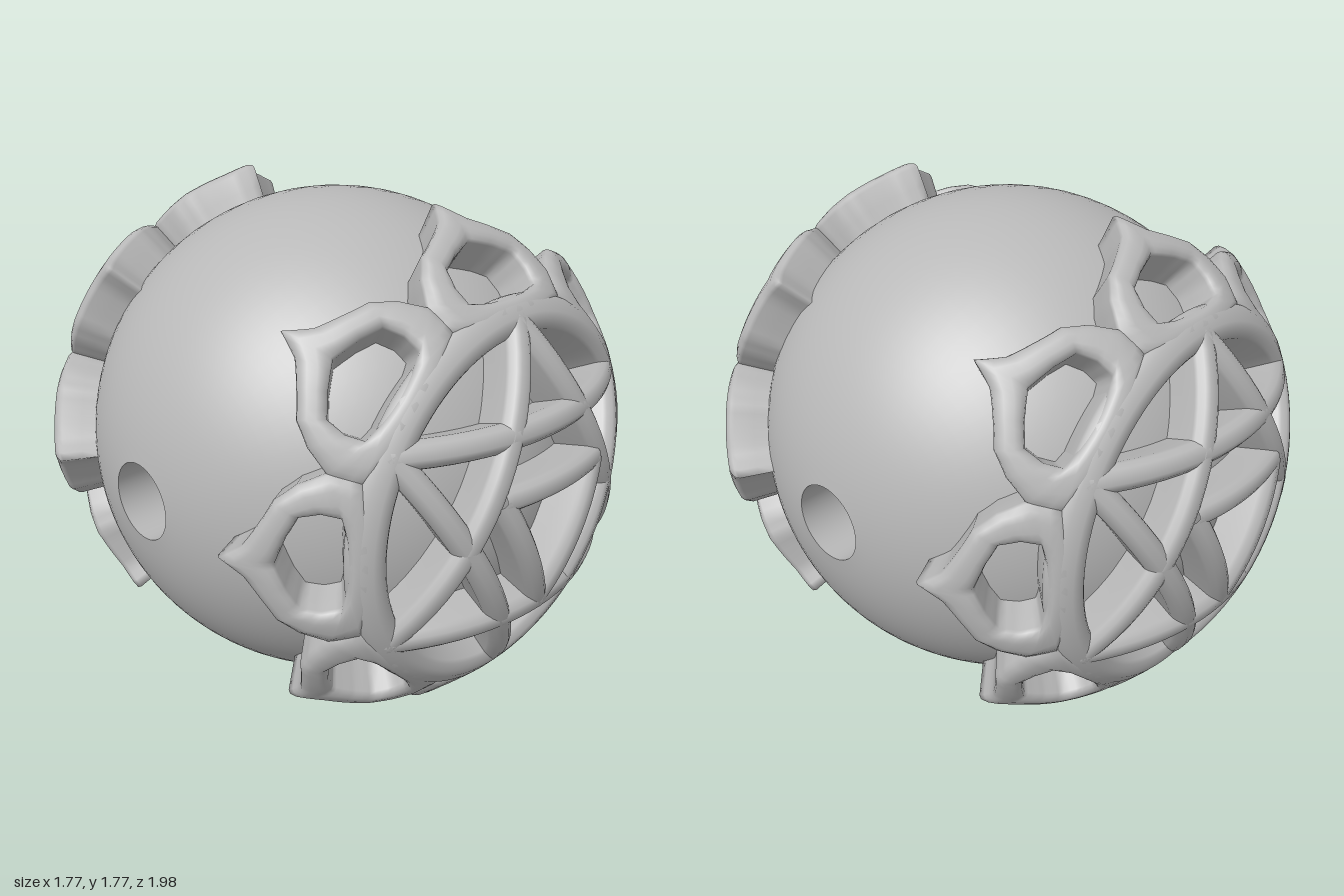
import * as THREE from 'three';

const CORE = 0.86, HOLE = 0.13, CENTRE_Y = 0.895;

// Flat pattern point (u, v) projected onto a sphere of radius r about the origin
function onSphere(u, v, r) {
  return [u * r, v * r, Math.sqrt(Math.max(0, 1 - u * u - v * v)) * r];
}

// Raised strip between two edge paths, with a rounded top and radial walls
function strip(left, right, closed, edge) {
  const profile = [
    [0, 0.84], [0, 0.91], [0, edge - 0.012], [0.04, edge], [0.18, (edge + 2) / 3], [0.35, 1],
    [0.65, 1], [0.82, (edge + 2) / 3], [0.96, edge], [1, edge - 0.012], [1, 0.91], [1, 0.84],
  ];
  const positions = [], index = [], m = profile.length, n = left.length;
  for (let i = 0; i < n; i++) {
    for (const [t, r] of profile) {
      positions.push(...onSphere(
        THREE.MathUtils.lerp(left[i][0], right[i][0], t),
        THREE.MathUtils.lerp(left[i][1], right[i][1], t), r));
    }
  }
  for (let i = 0; i < (closed ? n : n - 1); i++) {
    const a = i * m, b = ((i + 1) % n) * m;
    for (let j = 0; j < m - 1; j++) {
      index.push(a + j, a + j + 1, b + j, a + j + 1, b + j + 1, b + j);
    }
  }
  const geometry = new THREE.BufferGeometry();
  geometry.setAttribute('position', new THREE.Float32BufferAttribute(positions, 3));
  geometry.setIndex(index);
  geometry.computeVertexNormals();
  return geometry;
}

// Straight bar between two pattern points
function bar([x0, y0], [x1, y1], width = 0.085) {
  const length = Math.hypot(x1 - x0, y1 - y0);
  const nx = -(y1 - y0) / length * width / 2, ny = (x1 - x0) / length * width / 2;
  const left = [], right = [];
  for (let i = 0; i <= 20; i++) {
    const x = x0 + (x1 - x0) * i / 20, y = y0 + (y1 - y0) * i / 20;
    left.push([x + nx, y + ny]);
    right.push([x - nx, y - ny]);
  }
  return strip(left, right, false, 0.975);
}

// Circular rim
function rim(outer, inner) {
  const loop = (r) => Array.from({ length: 96 }, (_, i) => {
    const a = -i / 96 * Math.PI * 2;
    return [Math.cos(a) * r, Math.sin(a) * r];
  });
  return strip(loop(outer), loop(inner), true, 0.975);
}

// Mirror half an outline, given as [distance out, half width], and subdivide it
function petalLoop(half, angle) {
  const full = half.concat(half.slice(1, -1).reverse().map(([a, b]) => [a, -b]));
  const c = Math.cos(angle), s = Math.sin(angle), loop = [];
  full.forEach(([a, b], i) => {
    const [a2, b2] = full[(i + 1) % full.length];
    for (let k = 0; k < 3; k++) {
      const y = a + (a2 - a) * k / 3, x = b + (b2 - b) * k / 3;
      loop.push([x * c + y * s, y * c - x * s]);
    }
  });
  return loop;
}

const PETAL_OUTER = [[0.9, 0], [0.862, 0.05], [0.832, 0.12], [0.795, 0.2],
  [0.745, 0.25], [0.68, 0.285], [0.61, 0.27], [0.6, 0]];
const PETAL_INNER = [[0.81, 0], [0.8, 0.04], [0.785, 0.09], [0.755, 0.155],
  [0.71, 0.165], [0.67, 0.15], [0.665, 0.08], [0.665, 0]];

function createMedallion(material) {
  const group = new THREE.Group();
  const add = (name, geometry) => {
    const mesh = new THREE.Mesh(geometry, material);
    mesh.name = name;
    group.add(mesh);
  };
  add('rim', rim(0.675, 0.575));

  // Eight open petals around the rim
  for (let i = 0; i < 8; i++) {
    const angle = i * Math.PI / 4;
    add('petal', strip(petalLoop(PETAL_OUTER, angle), petalLoop(PETAL_INNER, angle), true, 0.985));
  }

  // Two large interlaced triangles and a small inverted one
  const triangles = {
    upwardTriangle: [[0, 0.61], [-0.535, -0.315], [0.535, -0.315]],
    downwardTriangle: [[0, -0.61], [0.535, 0.32], [-0.535, 0.32]],
    innerTriangle: [[0, -0.31], [0.235, 0.135], [-0.235, 0.135]],
  };
  for (const [name, corners] of Object.entries(triangles)) {
    corners.forEach((corner, i) => add(name + 'Bar', bar(corner, corners[(i + 1) % 3])));
  }
  return group;
}

export function createModel() {
  const stone = new THREE.MeshStandardMaterial({ color: 0xb8b8b8 });
  stone.name = 'light grey';
  const model = new THREE.Group();
  model.name = 'carvedBead';

  // Ball bored through from side to side
  const start = Math.asin(HOLE / CORE), profile = [];
  for (let i = 0; i <= 48; i++) {
    const a = -Math.PI / 2 + start + (Math.PI - 2 * start) * i / 48;
    profile.push(new THREE.Vector2(Math.cos(a) * CORE, Math.sin(a) * CORE));
  }
  const ball = new THREE.Mesh(new THREE.LatheGeometry(profile, 72), stone);
  ball.name = 'ball';

  // Wall of the bore, facing inward
  const end = Math.cos(start) * CORE;
  const bore = new THREE.Mesh(new THREE.LatheGeometry(
    [new THREE.Vector2(HOLE, end), new THREE.Vector2(HOLE, -end)], 72), stone);
  bore.name = 'bore';
  for (const part of [ball, bore]) {
    part.rotation.z = Math.PI / 2;
    part.position.y = CENTRE_Y;
    model.add(part);
  }

  // Matching medallions on front and back
  ['frontMedallion', 'backMedallion'].forEach((name, i) => {
    const medallion = createMedallion(stone);
    medallion.name = name;
    medallion.rotation.y = i * Math.PI;
    medallion.position.y = CENTRE_Y;
    model.add(medallion);
  });
  return model;
}
